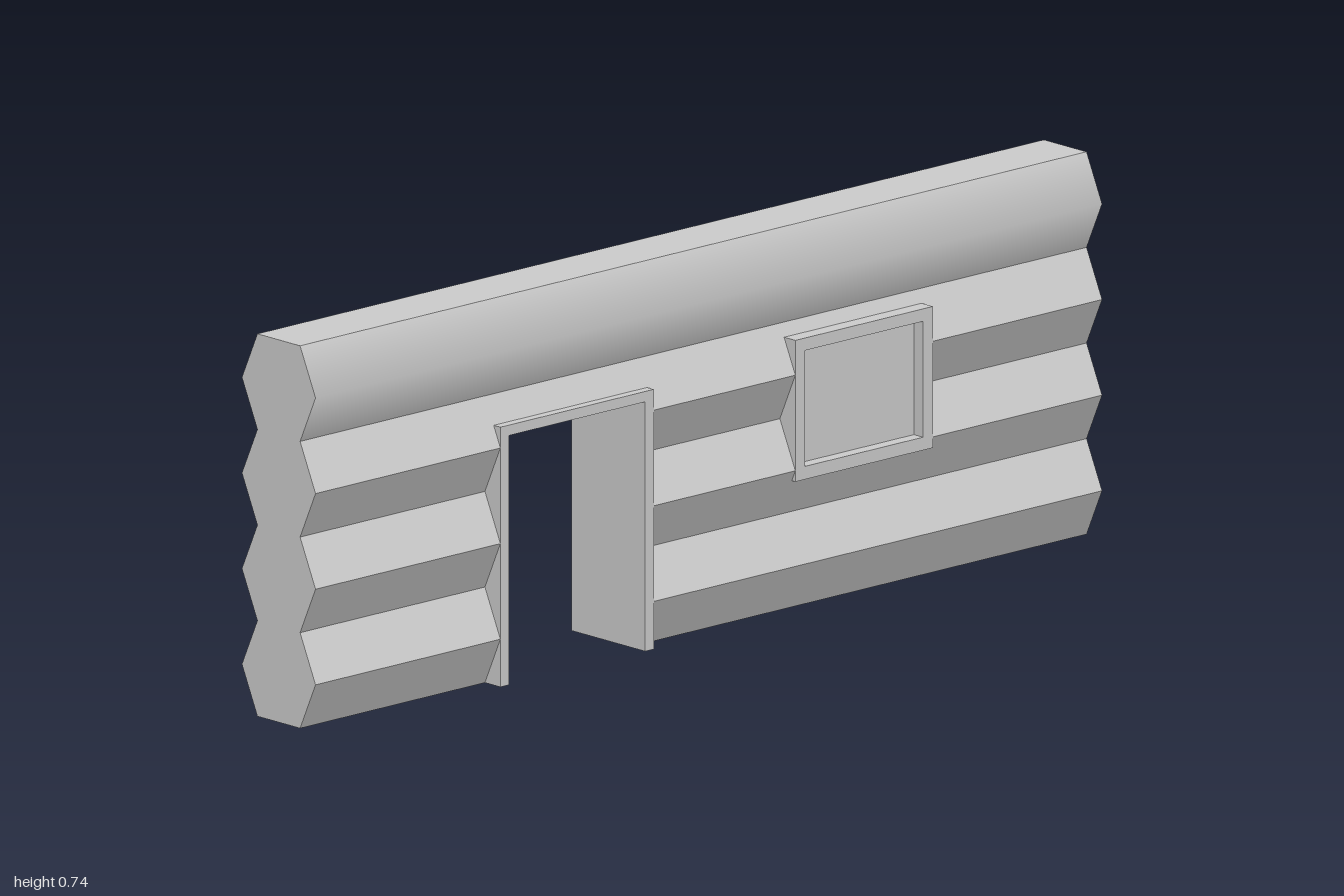
import * as THREE from 'three';

const STEP = 0.092, VALLEY = 0.058, RIDGE = 0.1, ROWS = 8;
const RIDGE_TOP = 7 * STEP, HEIGHT = ROWS * STEP;

// Openings in the wall; their edges lie hidden inside the frames
const DOOR = { x0: -0.52, x1: -0.15, y0: 0, y1: 0.49 };
const WINDOW = { x0: 0.232, x1: 0.558, y0: 0.267, y1: 0.515 };

// Half thickness of the stacked-log profile at height y
function halfDepth(y) {
  const t = (y / STEP) % 2;
  return VALLEY + (RIDGE - VALLEY) * (1 - Math.abs(t - 1));
}

// Parts of the wall's length left solid at height y
function solidSpans(y) {
  const spans = [];
  let x = -1;
  for (const o of [DOOR, WINDOW]) {
    if (y > o.y0 && y < o.y1) {
      spans.push([x, o.x0]);
      x = o.x1;
    }
  }
  spans.push([x, 1]);
  return spans;
}

function wallGeometry() {
  const pos = [], norm = [];
  // Corners run counter-clockwise as seen from outside
  const quad = (corners, smooth) => {
    const [a, b, c] = corners.map(p => new THREE.Vector3(...p));
    const n = b.clone().sub(a).cross(c.clone().sub(a)).normalize();
    for (const i of [0, 1, 2, 0, 2, 3]) {
      const p = corners[i];
      pos.push(...p);
      // The top log is rounded across its widest line
      if (smooth && Math.abs(p[1] - RIDGE_TOP) < 1e-6) norm.push(0, 0, Math.sign(p[2]));
      else norm.push(n.x, n.y, n.z);
    }
  };

  const levels = [DOOR.y1, WINDOW.y0, WINDOW.y1];
  for (let i = 0; i <= ROWS; i++) levels.push(i * STEP);
  levels.sort((a, b) => a - b);

  for (let i = 0; i < levels.length - 1; i++) {
    const y0 = levels[i], y1 = levels[i + 1];
    const d0 = halfDepth(y0), d1 = halfDepth(y1);
    // Front and back slopes
    for (const [a, b] of solidSpans((y0 + y1) / 2)) {
      quad([[a, y0, d0], [b, y0, d0], [b, y1, d1], [a, y1, d1]], true);
      quad([[b, y0, -d0], [a, y0, -d0], [a, y1, -d1], [b, y1, -d1]], true);
    }
    // Log ends
    quad([[1, y0, d0], [1, y0, -d0], [1, y1, -d1], [1, y1, d1]]);
    quad([[-1, y0, -d0], [-1, y0, d0], [-1, y1, d1], [-1, y1, -d1]]);
  }
  // Flat top and underside
  const v = VALLEY;
  quad([[-1, HEIGHT, v], [1, HEIGHT, v], [1, HEIGHT, -v], [-1, HEIGHT, -v]]);
  for (const [a, b] of solidSpans(0.01)) {
    quad([[a, 0, -v], [b, 0, -v], [b, 0, v], [a, 0, v]]);
  }

  const g = new THREE.BufferGeometry();
  g.setAttribute('position', new THREE.Float32BufferAttribute(pos, 3));
  g.setAttribute('normal', new THREE.Float32BufferAttribute(norm, 3));
  return g;
}

const points = list => list.map(([x, y]) => new THREE.Vector2(x, y));
const rect = (x0, y0, x1, y1) => points([[x0, y0], [x1, y0], [x1, y1], [x0, y1]]);

export function createModel() {
  const group = new THREE.Group();
  const material = new THREE.MeshStandardMaterial({ color: 0xcccccc });
  const add = (name, geometry) => {
    const mesh = new THREE.Mesh(geometry, material);
    mesh.name = name;
    group.add(mesh);
    return mesh;
  };
  const frame = (name, shape) => {
    const g = new THREE.ExtrudeGeometry(shape, { depth: 2 * RIDGE, bevelEnabled: false });
    add(name, g.translate(0, 0, -RIDGE));
  };

  add('logWall', wallGeometry());

  // Door frame: two jambs and a lintel
  frame('doorFrame', new THREE.Shape(points([
    [-0.53, 0], [-0.508, 0], [-0.508, 0.48], [-0.162, 0.48],
    [-0.162, 0], [-0.14, 0], [-0.14, 0.5], [-0.53, 0.5],
  ])));

  // Window frame with a recessed panel filling it
  const windowShape = new THREE.Shape(rect(0.22, 0.255, 0.57, 0.527));
  windowShape.holes.push(new THREE.Path(rect(0.245, 0.28, 0.545, 0.503)));
  frame('windowFrame', windowShape);
  add('windowPanel', new THREE.BoxGeometry(0.31, 0.233, 0.15)).position.set(0.395, 0.3915, 0);

  return group;
}
